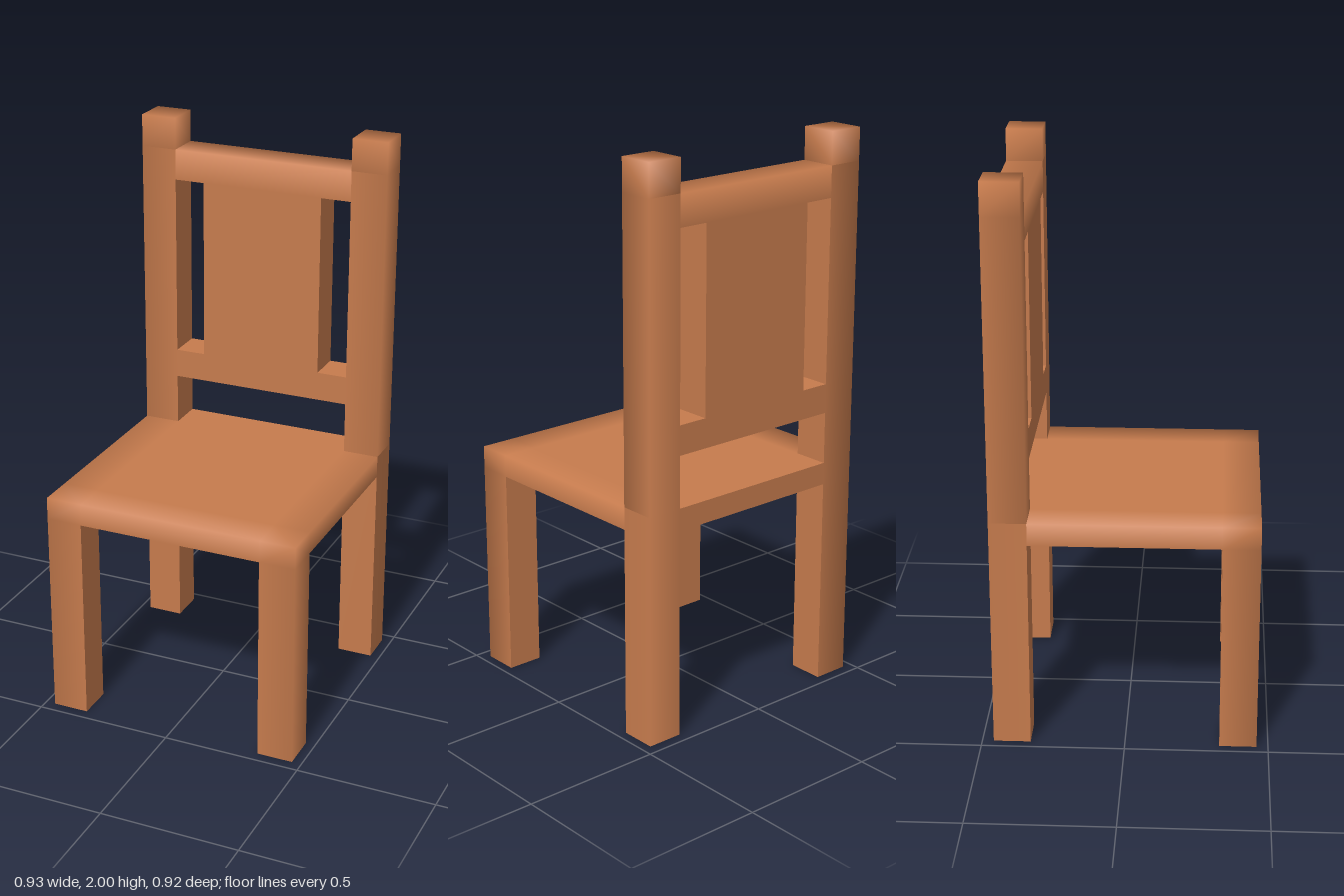
import * as THREE from 'three';

const AXES = { x: 0, y: 1, z: 2 };

// Block on a grid of cuts. Edges between two "soft" faces share blended normals;
// "hard" faces stay flat; faces in neither list are left open (hidden joints).
function blockGeometry(cuts, soft, hard) {
  const position = [], normal = [], index = [];
  const faceNormal = (face) => {
    const n = [0, 0, 0];
    n[AXES[face[1]]] = face[0] === '+' ? 1 : -1;
    return n;
  };
  const limit = (face) => {
    const c = cuts[AXES[face[1]]];
    return face[0] === '+' ? c[c.length - 1] : c[0];
  };
  for (const face of [...soft, ...hard]) {
    const a = AXES[face[1]], u = (a + 1) % 3, v = (a + 2) % 3;
    const start = position.length / 3, cols = cuts[v].length;
    for (const pu of cuts[u]) for (const pv of cuts[v]) {
      const p = [0, 0, 0];
      p[a] = limit(face); p[u] = pu; p[v] = pv;
      const n = new THREE.Vector3(...faceNormal(face));
      if (soft.includes(face)) {
        for (const other of soft) {
          if (other !== face && p[AXES[other[1]]] === limit(other)) {
            n.add(new THREE.Vector3(...faceNormal(other)));
          }
        }
      }
      n.normalize();
      position.push(...p);
      normal.push(n.x, n.y, n.z);
    }
    for (let i = 0; i < cuts[u].length - 1; i++) for (let j = 0; j < cols - 1; j++) {
      const p = start + i * cols + j, q = p + cols;
      if (face[0] === '+') index.push(p, q, q + 1, p, q + 1, p + 1);
      else index.push(p, q + 1, q, p, p + 1, q + 1);
    }
  }
  const g = new THREE.BufferGeometry();
  g.setAttribute('position', new THREE.Float32BufferAttribute(position, 3));
  g.setAttribute('normal', new THREE.Float32BufferAttribute(normal, 3));
  g.setIndex(index);
  return g;
}

export function createModel() {
  const chair = new THREE.Group();
  chair.name = 'chair';
  const wood = new THREE.MeshStandardMaterial({ color: 0xc67b4d, side: THREE.DoubleSide });
  wood.name = 'warm brown wood';

  const add = (name, x, y, z, soft, hard) => {
    const mesh = new THREE.Mesh(blockGeometry([x, y, z], soft, hard), wood);
    mesh.name = name;
    chair.add(mesh);
  };

  const OUT = 0.465, IN = 0.335;          // post edges in x
  const BACK = [-0.46, -0.33], FRONT = [0.33, 0.46];

  // Seat slab and the strip joining it to the back posts
  add('seat', [-OUT, -IN, IN, OUT], [0.75, 0.83], [-0.33, 0.33, 0.46],
    ['+x', '-x', '+y', '+z'], ['-y']);
  add('seatBackRail', [-IN, IN], [0.75, 0.83], BACK, [], ['+y', '-y', '-z']);

  // Legs and back posts, mirrored; leg bottoms are open
  for (const s of [1, -1]) {
    const side = s > 0 ? 'left' : 'right';
    const x = s > 0 ? [IN, OUT] : [-OUT, -IN];
    const outer = s > 0 ? '+x' : '-x', inner = s > 0 ? '-x' : '+x';
    add(side + 'FrontLeg', x, [0, 0.75], FRONT, [outer, '+z'], [inner, '-z']);
    add(side + 'BackLeg', x, [0, 0.83], BACK, [outer, '-z'], [inner, '+z']);
    add(side + 'BackPost', x, [0.83, 1.885], BACK, [outer, '+z', '-z'], [inner]);
    add(side + 'PostTop', x, [1.885, 2], BACK, [outer, inner, '+y', '+z', '-z'], []);
  }

  // Backrest: two rails and a wide splat between them
  add('topRail', [-IN, IN], [1.775, 1.885], BACK, ['+y', '+z', '-z'], ['-y']);
  add('backSplat', [-0.225, 0.225], [1.12, 1.775], BACK, [], ['+x', '-x', '+z', '-z']);
  add('lowerRail', [-IN, IN], [1.015, 1.12], BACK, [], ['+y', '-y', '+z', '-z']);

  return chair;
}
